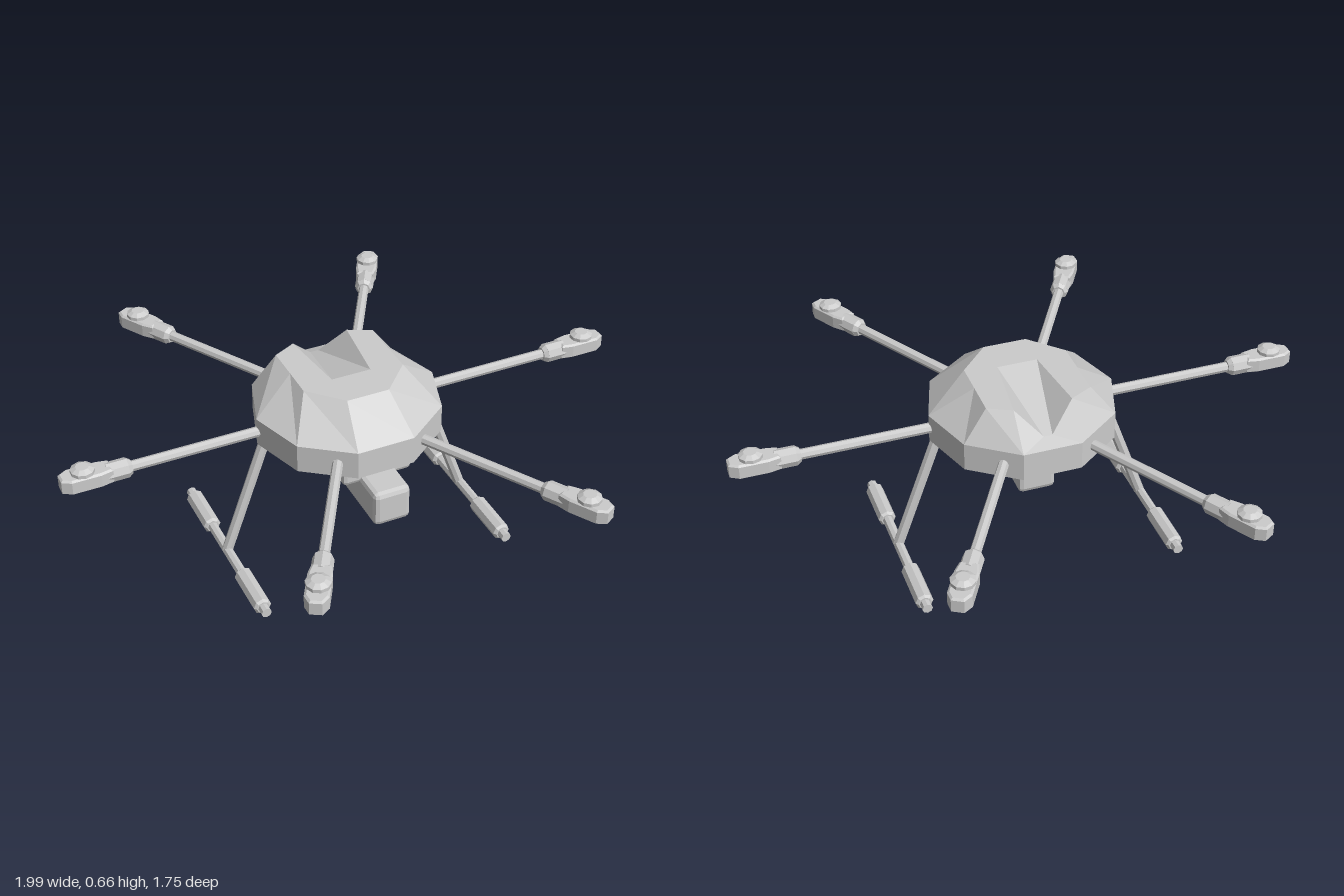
import * as THREE from 'three';
import { RoundedBoxGeometry } from 'three/addons/geometries/RoundedBoxGeometry.js';

const mat = new THREE.MeshStandardMaterial({ color: 0xcccccc, flatShading: true });

function add(parent, name, geo, x = 0, y = 0, z = 0) {
  const m = new THREE.Mesh(geo, mat);
  m.name = name;
  m.position.set(x, y, z);
  parent.add(m);
  return m;
}

// Octagonal rod between two points
function rod(parent, name, from, to, r) {
  const a = new THREE.Vector3(...from), b = new THREE.Vector3(...to);
  const mid = a.clone().add(b).multiplyScalar(0.5);
  const m = add(parent, name, new THREE.CylinderGeometry(r, r, a.distanceTo(b), 8), ...mid);
  m.quaternion.setFromUnitVectors(new THREE.Vector3(0, 1, 0), b.sub(a).normalize());
  return m;
}

// Ten-sided faceted shell with a sloping recess at the back
function shellGeometry() {
  const R = 0.325, base = 0.45, rim = 0.55, top = 0.66;
  const ring = (y) => Array.from({ length: 10 }, (_, k) => {
    const t = (k * Math.PI) / 5;
    return [R * Math.cos(t), y, R * Math.sin(t)];
  });
  const low = ring(base), out = ring(rim);
  const inner = [
    [0.18, -0.05], [0.18, 0.06], [0.075, 0.17], [-0.075, 0.17], [-0.18, 0.06],
    [-0.18, -0.05], [-0.18, -0.17], [-0.1, -0.21], [0.1, -0.21], [0.18, -0.17],
  ].map(([x, z]) => [x, top, z]);
  const aR = [0.07, top, 0.04], aL = [-0.07, top, 0.04];
  const mR = [0.015, 0.57, -0.26], mL = [-0.015, 0.57, -0.26];
  const pos = [];
  const tri = (a, b, c) => pos.push(...a, ...b, ...c);
  const quad = (a, b, c, d) => { tri(a, b, c); tri(a, c, d); };

  for (let k = 0; k < 10; k++) {
    const n = (k + 1) % 10;
    quad(low[k], out[k], out[n], low[n]);
    tri([0, base, 0], low[k], low[n]);
    if (k !== 7) quad(out[k], inner[k], inner[n], out[n]);
  }
  // flat top around the recess
  for (const k of [8, 9, 0, 1]) tri(aR, inner[(k + 1) % 10], inner[k]);
  for (const k of [3, 4, 5, 6]) tri(aL, inner[k + 1], inner[k]);
  quad(aR, aL, inner[3], inner[2]);
  // recess ramp, its side walls and the back facets
  quad(mR, mL, aL, aR);
  tri(aR, inner[8], mR);
  tri(aL, mL, inner[7]);
  tri(out[8], mR, inner[8]);
  tri(out[7], inner[7], mL);
  quad(out[8], out[7], mL, mR);

  const g = new THREE.BufferGeometry();
  g.setAttribute('position', new THREE.Float32BufferAttribute(pos, 3));
  g.computeVertexNormals();
  return g;
}

// Long pod with tapered ends, along x
function podGeometry() {
  const s = new THREE.Shape([
    [0.835, -0.024], [0.87, -0.031], [0.965, -0.031], [0.99, -0.016],
    [0.99, 0.016], [0.965, 0.031], [0.87, 0.031], [0.835, 0.024],
  ].map(([x, y]) => new THREE.Vector2(x, y)));
  const g = new THREE.ExtrudeGeometry(s, {
    depth: 0.043, bevelEnabled: true, bevelThickness: 0.006, bevelSize: 0.007, bevelSegments: 1,
  });
  return g.rotateX(-Math.PI / 2);
}

export function createModel() {
  const model = new THREE.Group();
  model.name = 'hexacopter';

  add(model, 'bodyShell', shellGeometry());

  // Camera bay under the body
  add(model, 'cameraMount', new RoundedBoxGeometry(0.25, 0.11, 0.33, 1, 0.015), 0, 0.43, 0.083);
  add(model, 'cameraBox', new RoundedBoxGeometry(0.132, 0.13, 0.53, 1, 0.018), 0, 0.337, 0.1);

  // Six arms, each with collar, pod and motor
  const pod = podGeometry();
  for (let i = 0; i < 6; i++) {
    const arm = new THREE.Group();
    arm.name = 'arm' + (i + 1);
    arm.rotation.y = (i * Math.PI) / 3;
    rod(arm, 'armTube', [0.25, 0.5, 0], [0.8, 0.5, 0], 0.018);
    rod(arm, 'armCollar', [0.775, 0.5, 0], [0.845, 0.5, 0], 0.034);
    const taper = add(arm, 'collarTaper', new THREE.CylinderGeometry(0.034, 0.024, 0.015, 8), 0.768, 0.5, 0);
    taper.rotation.z = -Math.PI / 2;
    add(arm, 'motorPod', pod, 0, 0.481, 0);
    add(arm, 'motor', new THREE.CylinderGeometry(0.04, 0.04, 0.012, 10), 0.92, 0.536, 0);
    add(arm, 'motorCap', new THREE.CylinderGeometry(0.022, 0.04, 0.01, 10), 0.92, 0.547, 0);
    model.add(arm);
  }

  // Landing gear on both sides
  for (const s of [1, -1]) {
    const gear = new THREE.Group();
    gear.name = s > 0 ? 'leftLandingGear' : 'rightLandingGear';
    const x = 0.452 * s, y = 0.033;
    rod(gear, 'leg', [0.29 * s, 0.48, 0], [x, y, 0], 0.019);
    rod(gear, 'skid', [x, y, -0.352], [x, y, 0.352], 0.018);
    for (const e of [1, -1]) {
      rod(gear, 'skidGrip', [x, y, 0.145 * e], [x, y, 0.315 * e], 0.031);
      for (const [z, dir] of [[0.141, -1], [0.319, 1]]) {
        const c = add(gear, 'gripTaper', new THREE.CylinderGeometry(0.023, 0.031, 0.008, 8), x, y, z * e);
        c.rotation.x = (Math.PI / 2) * dir * e;
      }
    }
    model.add(gear);
  }
  return model;
}
